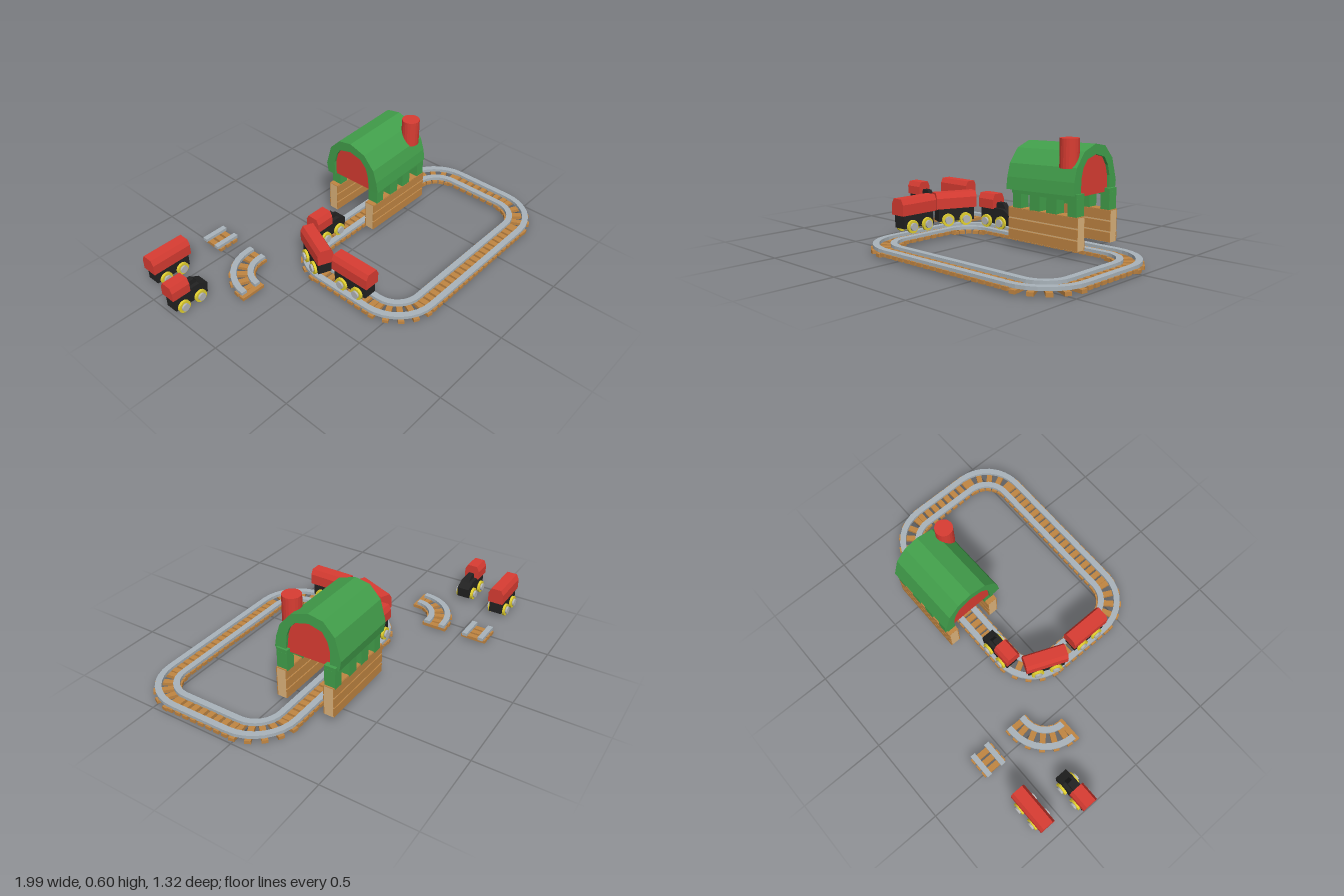
import * as THREE from 'three';

const mat = (color) => new THREE.MeshStandardMaterial({ color, flatShading: true });
const RED = mat(0xd83c32), GREEN = mat(0x429f4b), WOOD = mat(0xc08542), PALE = mat(0xdcb27a);
const BLACK = mat(0x222222), YELLOW = mat(0xe2d030), GREY = mat(0xb4b6b8), STEEL = mat(0xa9b3ba);

function add(parent, name, geo, material, x = 0, y = 0, z = 0) {
  const m = new THREE.Mesh(geo, material);
  m.name = name;
  m.position.set(x, y, z);
  parent.add(m);
  return m;
}
const box = (p, name, m, w, h, d, x, y, z) => add(p, name, new THREE.BoxGeometry(w, h, d), m, x, y, z);
function group(parent, name) {
  const g = new THREE.Group();
  g.name = name;
  parent.add(g);
  return g;
}
const poly = (pts) => new THREE.Shape(pts.map(([x, y]) => new THREE.Vector2(x, y)));

// Profile of [-z, y] points drawn out along x
function alongX(p, name, pts, x0, x1, m) {
  const geo = new THREE.ExtrudeGeometry(poly(pts), { depth: x1 - x0, bevelEnabled: false });
  geo.rotateY(Math.PI / 2).translate(x0, 0, 0);
  return add(p, name, geo, m);
}
// Profile of [x, y] points drawn out along z, centred
function alongZ(p, name, pts, width, m) {
  const geo = new THREE.ExtrudeGeometry(poly(pts), { depth: width, bevelEnabled: false });
  return add(p, name, geo.translate(0, 0, -width / 2), m);
}
// Flat shape of [x, z] with its top at y
function flat(p, name, shape, y, h, m) {
  const geo = new THREE.ExtrudeGeometry(shape, { depth: h, bevelEnabled: false });
  return add(p, name, geo.rotateX(Math.PI / 2), m, 0, y, 0);
}

// ---- Track ----
const R = 0.19, GAUGE = 0.046, RAIL = 0.034;
const loop = { x0: -0.272, x1: 0.922, z0: -0.145, z1: 0.58 };
const corners = [
  [loop.x1 - R, loop.z1 - R, 0], [loop.x0 + R, loop.z1 - R, 1],
  [loop.x0 + R, loop.z0 + R, 2], [loop.x1 - R, loop.z0 + R, 3],
];

function arc(cx, cz, r, a0, a1, n = 8) {
  return Array.from({ length: n + 1 }, (_, i) => {
    const a = a0 + (a1 - a0) * i / n;
    return [cx + r * Math.cos(a), cz + r * Math.sin(a)];
  });
}
const loopPoints = (offset) => corners.flatMap(([x, z, q]) =>
  arc(x, z, R + offset, q * Math.PI / 2, (q + 1) * Math.PI / 2));

// Sleeper lying along direction a (measured from x towards z)
function sleeper(p, x, z, a, y) {
  box(p, 'sleeper', WOOD, 0.145, 0.018, 0.032, x, y, z).rotation.y = -a;
}
function sleeperRow(p, xa, za, xb, zb, n, a, y) {
  for (let i = 0; i < n; i++) {
    const t = n > 1 ? i / (n - 1) : 0;
    sleeper(p, xa + (xb - xa) * t, za + (zb - za) * t, a, y);
  }
}
function sleeperArc(p, cx, cz, a0, n, y) {
  for (let i = 0; i < n; i++) {
    const a = a0 + (i + 0.5) / n * Math.PI / 2;
    sleeper(p, cx + R * Math.cos(a), cz + R * Math.sin(a), a, y);
  }
}

function buildLoop(root) {
  const g = group(root, 'trackLoop'), y = 0.032, q = Math.PI / 2;
  for (const s of [-1, 1]) {
    const ring = poly(loopPoints(s * GAUGE + RAIL / 2));
    ring.holes.push(poly(loopPoints(s * GAUGE - RAIL / 2)));
    flat(g, 'loopRail', ring, 0.056, 0.018, STEEL);
  }
  for (const z of [loop.z0, loop.z1]) sleeperRow(g, loop.x0 + R, z, loop.x1 - R, z, 19, q, y);
  for (const x of [loop.x0, loop.x1]) sleeperRow(g, x, loop.z0 + R, x, loop.z1 - R, 8, 0, y);
  for (const [x, z, k] of corners) sleeperArc(g, x, z, k * q, 5, y - 0.008);
}

function buildSpareTrack(root) {
  // Loose curve
  const curve = group(root, 'looseCurve'), cx = -0.43, cz = -0.16;
  for (const s of [-1, 1]) {
    const ro = R + s * GAUGE + RAIL / 2, ri = ro - RAIL;
    flat(curve, 'curvedRail', poly([
      ...arc(cx, cz, ro, Math.PI, Math.PI * 1.5), [-0.4, cz - ro], [-0.4, cz - ri],
      ...arc(cx, cz, ri, Math.PI * 1.5, Math.PI),
    ]), 0.048, 0.018, STEEL);
  }
  sleeperArc(curve, cx, cz, Math.PI, 5, 0.021);
  sleeper(curve, -0.415, cz - R, Math.PI / 2, 0.021);
  sleeper(curve, cx - R, cz + 0.005, 0, 0.021);
  // Loose straight
  const straight = group(root, 'looseStraight');
  for (const s of [-1, 1]) box(straight, 'straightRail', STEEL, 0.145, 0.018, 0.03, -0.458, 0.046, -0.597 + s * 0.048);
  sleeperRow(straight, -0.503, -0.597, -0.413, -0.597, 3, Math.PI / 2, 0.028);
}

// ---- Rolling stock, standing on its wheels and pointing to +x ----
const cabProfile = (y0) => [[-0.045, y0], [0.045, y0], [0.045, 0.16], [0.03, 0.19], [-0.03, 0.19], [-0.045, 0.16]];

function wheels(p) {
  for (const x of [-0.053, 0.053]) for (const s of [-1, 1]) {
    const rim = new THREE.CylinderGeometry(0.036, 0.036, 0.014, 20).rotateX(Math.PI / 2);
    const hub = new THREE.CylinderGeometry(0.022, 0.022, 0.026, 16).rotateX(Math.PI / 2);
    add(p, 'wheel', rim, YELLOW, x, 0.036, s * 0.044);
    add(p, 'wheelHub', hub, GREY, x, 0.036, s * 0.049);
  }
}
function wagon(root, x, y, z, turn) {
  const g = group(root, 'wagon');
  box(g, 'wagonChassis', BLACK, 0.212, 0.075, 0.075, 0, 0.0655, 0);
  alongX(g, 'wagonBody', cabProfile(0.1), -0.12, 0.12, RED);
  wheels(g);
  g.position.set(x, y, z);
  g.rotation.y = turn;
}
function locomotive(root, x, y, z) {
  const g = group(root, 'locomotive');
  alongZ(g, 'engineChassis', [[-0.1, 0.025], [0.105, 0.025], [0.1125, 0.085], [0.06, 0.113], [-0.1, 0.113]], 0.073, BLACK);
  alongZ(g, 'engineHump', [[-0.01, 0.1], [0.075, 0.1], [0.045, 0.143], [0, 0.143]], 0.032, BLACK);
  alongX(g, 'engineCab', cabProfile(0.108), -0.1125, -0.003, RED);
  wheels(g);
  g.position.set(x, y, z);
}

// ---- Station ----
function buildStation(root) {
  const g = group(root, 'station');
  for (const z of [-0.027, -0.305]) {
    // Plank wall
    box(g, 'wallCore', PALE, 0.452, 0.168, 0.052, 0.4, 0.136, z);
    for (const s of [-1, 1]) for (let i = 0; i < 3; i++) {
      box(g, 'wallPlank', WOOD, 0.452, 0.05, 0.006, 0.4, 0.079 + i * 0.058, z + s * 0.028);
    }
    box(g, 'wallCap', WOOD, 0.452, 0.004, 0.058, 0.4, 0.221, z);
    // Window posts and the beam above them
    const zp = z - 0.002;
    for (const [x, w] of [[0.23, 0.055], [0.35, 0.065], [0.46, 0.065], [0.59, 0.055]]) {
      box(g, 'windowPost', GREEN, w, 0.1, 0.062, x, 0.265, zp);
    }
    box(g, 'windowBeam', GREEN, 0.42, 0.035, 0.064, 0.407, 0.318, zp);
  }
  // Vaulted roof, tilted slightly, with the filled gable inside
  const roof = group(g, 'roof');
  const inner = [[0.295, 0.31], [0.295, 0.395], [0.28, 0.45], [0.25, 0.495], [0.175, 0.515],
    [0.1, 0.495], [0.065, 0.455], [0.05, 0.41], [0.04, 0.31]];
  const outer = [[-0.022, 0.325], [-0.012, 0.39], [0.01, 0.46], [0.075, 0.535], [0.172, 0.568], [0.255, 0.553],
    [0.32, 0.485], [0.354, 0.365], [0.345, 0.31]];
  alongX(roof, 'vault', [[0.04, 0.318], ...outer, ...inner], -0.215, 0.215, GREEN)
    .position.z = 0;
  alongX(roof, 'gable', inner, -0.2, 0.2, RED);
  roof.position.set(0.4, 0, 0);
  roof.rotation.set(0, 0.022, 0.024);
  // Chimney
  add(g, 'chimney', new THREE.CylinderGeometry(0.05, 0.05, 0.15, 20), RED, 0.536, 0.533, -0.042);
}

export function createModel() {
  const root = new THREE.Group();
  root.name = 'toyRailway';
  buildLoop(root);
  buildSpareTrack(root);
  buildStation(root);
  wagon(root, -0.277, 0.066, 0.267, Math.PI / 2);
  wagon(root, -0.262, 0.06, -0.018, 1.17);
  locomotive(root, -0.042, 0.055, -0.155);
  wagon(root, -0.818, 0.008, -0.594, 0);
  locomotive(root, -0.8875, 0.008, -0.355);
  return root;
}
